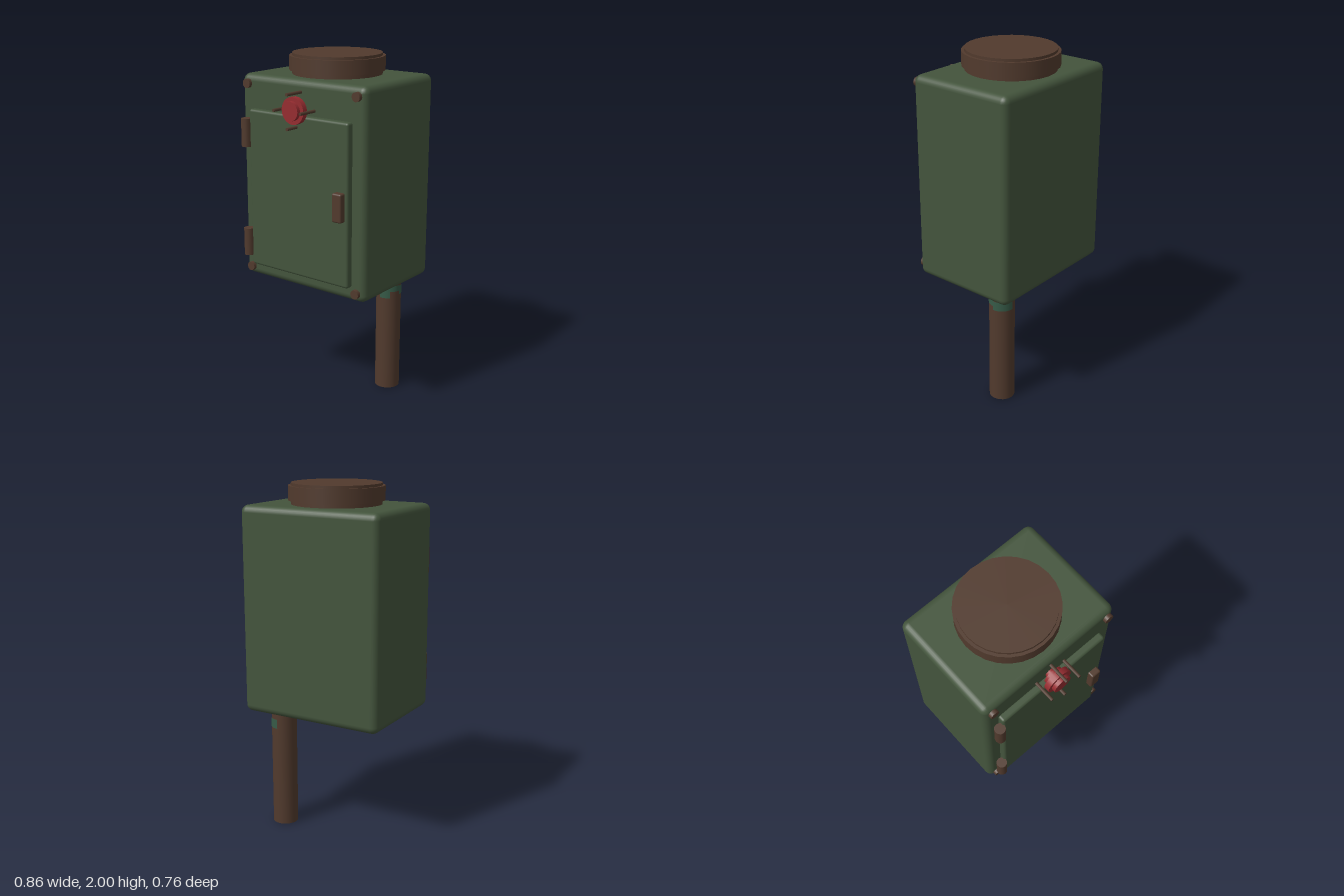
import * as THREE from 'three';
import { RoundedBoxGeometry } from 'three/addons/geometries/RoundedBoxGeometry.js';

function paint(name, color) {
  const m = new THREE.MeshStandardMaterial({ color });
  m.name = name;
  return m;
}

export function createModel() {
  const model = new THREE.Group();
  model.name = 'utilityBox';
  const green = paint('army green', 0x43543c);
  const brown = paint('rusty brown', 0x513a2d);
  const red = paint('signal red', 0x952c30);
  const teal = paint('patina teal', 0x365a47);

  const add = (name, geometry, material, x, y, z) => {
    const mesh = new THREE.Mesh(geometry, material);
    mesh.name = name;
    mesh.position.set(x, y, z);
    model.add(mesh);
    return mesh;
  };
  const box = (name, mat, w, h, d, r, x, y, z) =>
    add(name, new RoundedBoxGeometry(w, h, d, 3, r), mat, x, y, z);
  // Upright cylinder between two heights
  const post = (name, mat, r, y0, y1, x, z, sides) =>
    add(name, new THREE.CylinderGeometry(r, r, y1 - y0, sides), mat, x, (y0 + y1) / 2, z);
  // Cylinder pointing forward between two depths
  const peg = (name, mat, r, z0, z1, x, y, sides) => {
    const g = new THREE.CylinderGeometry(r, r, z1 - z0, sides).rotateX(Math.PI / 2);
    return add(name, g, mat, x, y, (z0 + z1) / 2);
  };

  // Cabinet and door
  box('cabinet', green, 0.86, 1.18, 0.64, 0.04, 0, 1.293, -0.06);
  box('door', green, 0.69, 0.91, 0.05, 0.015, 0, 1.24, 0.275);

  // Round cap on the roof
  post('capCore', brown, 0.252, 1.86, 2, 0, -0.06, 28);
  post('capRim', brown, 0.268, 1.905, 1.985, 0, -0.06, 28);

  // Pole under the rear corner, with patches of patina
  const px = 0.265, pz = -0.218, pr = 0.073;
  post('pole', brown, pr, 0, 0.73, px, pz, 24);
  const patches = [[-8, 48, 0.58, 0.655], [40, 50, 0.62, 0.655], [88, 92, 0.595, 0.65]];
  for (const [start, sweep, y0, y1] of patches) {
    const g = new THREE.CylinderGeometry(pr + 0.002, pr + 0.002, y1 - y0, 8, 1, true,
      THREE.MathUtils.degToRad(start), THREE.MathUtils.degToRad(sweep));
    add('polePatch', g, teal, px, (y0 + y1) / 2, pz);
  }

  // Corner bolts
  for (const x of [-0.377, 0.377])
    for (const y of [0.755, 1.83]) peg('cornerBolt', brown, 0.026, 0.25, 0.28, x, y, 12);

  // Hinges and latch
  for (const y of [0.84, 1.48]) post('hinge', brown, 0.03, y, y + 0.16, -0.367, 0.298, 12);
  box('latch', brown, 0.062, 0.16, 0.05, 0.01, 0.295, 1.24, 0.312);

  // Red lamp with its guard pins
  peg('lampStem', red, 0.03, 0.25, 0.29, 0, 1.725, 16);
  peg('lampCore', red, 0.053, 0.278, 0.354, 0, 1.725, 20);
  peg('lampFlange', red, 0.075, 0.3, 0.332, 0, 1.725, 20);
  for (const [x, y] of [[-0.092, 0], [0.092, 0], [0, -0.092], [0, 0.092]])
    peg('guardPin', brown, 0.009, 0.25, 0.38, x, 1.725 + y, 8);

  return model;
}
